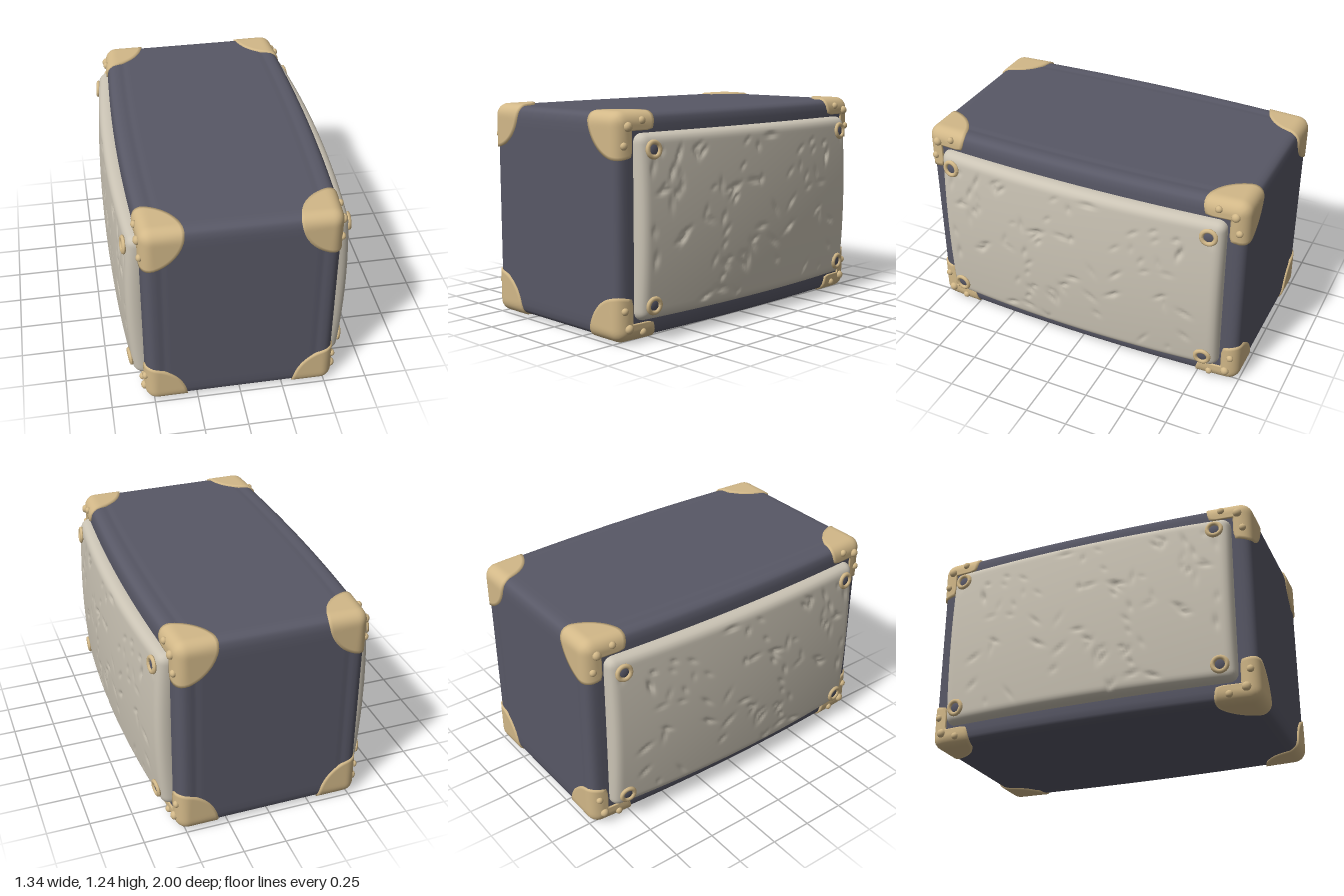
import * as THREE from 'three';
import { mergeVertices } from 'three/addons/utils/BufferGeometryUtils.js';

const V = (x, y, z) => new THREE.Vector3(x, y, z);
const CENTRE_Y = 0.617;
const BODY = V(0.575, 0.609, 0.99), BODY_R = 0.06;   // half sizes and edge radius
const PANEL = V(0.06, 0.503, 0.885), PANEL_R = 0.05;

// Moves a point of a sharp box onto the rounded box, raised by "off"
function roundPoint(p, half, r, off = 0) {
  const lim = half.clone().subScalar(r);
  const inner = p.clone().clamp(lim.clone().negate(), lim);
  return p.clone().sub(inner).normalize().multiplyScalar(r + off).add(inner);
}

// Body surface: rounded box that is narrower towards front and back
function bodyPoint(p, off = 0) {
  const q = roundPoint(p, BODY, BODY_R, off);
  q.x *= 1 - 0.07 * q.z * q.z;
  return q;
}

// Outer surface of the bulging side panel
const panelX = (y, z) => 0.67 - 0.05 * (z / 0.89) ** 2 - 0.025 * (y / 0.5) ** 2;

// Finely divided two-unit box whose vertices are moved by a rule, with smooth normals
function shapedBox(sx, sy, sz, rule) {
  let g = new THREE.BoxGeometry(2, 2, 2, sx, sy, sz);
  g.deleteAttribute('normal');
  g.deleteAttribute('uv');
  g = mergeVertices(g);
  const pos = g.attributes.position, p = V(0, 0, 0);
  for (let i = 0; i < pos.count; i++) {
    const q = rule(p.fromBufferAttribute(pos, i));
    pos.setXYZ(i, q.x, q.y, q.z);
  }
  g.computeVertexNormals();
  return g;
}

// Copy mirrored by the signs, keeping faces outward
function mirrored(geo, sx, sy, sz) {
  const g = geo.clone().scale(sx, sy, sz);
  if (sx * sy * sz < 0) {
    const a = g.index.array;
    for (let i = 0; i < a.length; i += 3) [a[i], a[i + 1]] = [a[i + 1], a[i]];
  }
  // scaling by a mirror leaves the normals consistent with the flipped faces
  g.computeVertexNormals();
  return g;
}

function bodyGeometry() {
  return shapedBox(64, 20, 40, (p) => {
    const spread = (t, h) => h * Math.sin(t * Math.PI / 2);
    const q = bodyPoint(V(spread(p.x, BODY.x), spread(p.y, BODY.y), spread(p.z, BODY.z)));
    // narrow seam running round the body near each side
    const u = Math.abs(q.x) / (1 - 0.07 * q.z * q.z);
    const groove = Math.exp(-(((u - 0.47) / 0.01) ** 2));
    q.y *= 1 - 0.01 * groove;
    q.z *= 1 - 0.006 * groove;
    return q;
  });
}

function panelGeometry() {
  let seed = 7;
  const rnd = () => (seed = (seed * 16807) % 2147483647) / 2147483647;
  for (let i = 0; i < 5; i++) rnd();
  const dents = Array.from({ length: 75 }, () => ({
    y: (rnd() * 2 - 1) * 0.45, z: (rnd() * 2 - 1) * 0.82, turn: rnd() * Math.PI,
    long: 0.015 + rnd() * 0.03, depth: 0.005 + rnd() * 0.009,
  }));
  return shapedBox(6, 72, 124, (p) => {
    const q = roundPoint(p.clone().multiply(PANEL), PANEL, PANEL_R);
    const outer = q.x > 0.045;
    q.x += panelX(q.y, q.z) - PANEL.x;
    // scratches and gouges on the outer face
    if (outer) for (const d of dents) {
      const dy = q.y - d.y, dz = q.z - d.z, c = Math.cos(d.turn), s = Math.sin(d.turn);
      q.x -= d.depth * Math.exp(-(((c * dy + s * dz) / d.long) ** 2) - ((c * dz - s * dy) / 0.011) ** 2);
    }
    return q;
  });
}

// Corner cap: three quarter-round plates sharing the corner, L-shaped on the side
function capGeometry() {
  const rings = 14, steps = 18, R = 0.245, arm = 0.092;
  const axes = ['x', 'y', 'z'], pos = [], idx = [];
  for (let n = 0; n < 3; n++) {
    const u = axes[(n + 1) % 3], v = axes[(n + 2) % 3], base = pos.length / 3;
    for (let i = 0; i <= rings + 1; i++) for (let j = 0; j <= steps; j++) {
      const t = (j / steps) * Math.PI / 2, c = Math.cos(t), s = Math.sin(t);
      const reach = n === 0 ? Math.min(R, arm / Math.max(1e-6, Math.min(c, s))) : R;
      const rho = reach * Math.min(i, rings) / rings;
      const p = BODY.clone();
      p[u] -= rho * c;
      p[v] -= rho * s;
      // the last ring drops into the body to give the cap a rim
      pos.push(...bodyPoint(p, i > rings ? -0.006 : 0.01).toArray());
    }
    for (let i = 0; i <= rings; i++) for (let j = 0; j < steps; j++) {
      const a = base + i * (steps + 1) + j, b = a + steps + 1;
      if (i > 0) idx.push(a, b + 1, a + 1);
      idx.push(a, b, b + 1);
    }
  }
  const g = new THREE.BufferGeometry();
  g.setAttribute('position', new THREE.Float32BufferAttribute(pos, 3));
  g.setIndex(idx);
  const m = mergeVertices(g);
  m.computeVertexNormals();
  return m;
}

// Domed rivets on the side of a cap: distance from the top, from the front, radius
function rivetGeometries() {
  return [[0.07, 0.065, 0.026], [0.042, 0.16, 0.021], [0.17, 0.042, 0.021]].map(([dy, dz, r]) => {
    const c = bodyPoint(V(BODY.x, BODY.y - dy, BODY.z - dz), 0.01);
    return new THREE.SphereGeometry(r, 12, 8).scale(0.85, 1, 1).translate(c.x, c.y, c.z);
  });
}

// Places a geometry facing +z onto the panel at its fixing point
function onPanel(geo, lift) {
  const y = 0.418, z = 0.803, normal = V(1, 0.083, 0.1).normalize();
  const at = V(panelX(y, z), y, z).addScaledVector(normal, lift);
  geo.applyQuaternion(new THREE.Quaternion().setFromUnitVectors(V(0, 0, 1), normal));
  return geo.translate(at.x, at.y, at.z);
}

export function createModel() {
  const material = (name, color) => {
    const m = new THREE.MeshStandardMaterial({ color });
    m.name = name;
    return m;
  };
  const slate = material('slate', 0x585866);
  const cream = material('cream', 0xcbc4b5);
  const brass = material('brass', 0xd2b888);

  const model = new THREE.Group();
  model.name = 'case';
  const shell = new THREE.Group();
  shell.name = 'shell';
  shell.position.y = CENTRE_Y;
  model.add(shell);
  const add = (parent, name, geo, mat) => {
    const mesh = new THREE.Mesh(geo, mat);
    mesh.name = name;
    parent.add(mesh);
  };

  add(shell, 'body', bodyGeometry(), slate);

  const panel = panelGeometry(), cap = capGeometry(), rivets = rivetGeometries();
  const ring = onPanel(new THREE.TorusGeometry(0.04, 0.013, 8, 24), 0.004);
  const bolt = onPanel(new THREE.SphereGeometry(0.032, 14, 8).scale(1, 1, 0.3), 0.0);

  for (const sx of [1, -1]) {
    add(shell, sx > 0 ? 'leftPanel' : 'rightPanel', mirrored(panel, sx, 1, 1), cream);
    for (const sy of [1, -1]) for (const sz of [1, -1]) {
      const corner = new THREE.Group();
      corner.name = `${sy > 0 ? 'top' : 'bottom'}${sz > 0 ? 'Front' : 'Back'}${sx > 0 ? 'Left' : 'Right'}Corner`;
      shell.add(corner);
      add(corner, 'cornerCap', mirrored(cap, sx, sy, sz), brass);
      rivets.forEach((r) => add(corner, 'rivet', mirrored(r, sx, sy, sz), brass));
      add(corner, 'eyeletRing', mirrored(ring, sx, sy, sz), brass);
      add(corner, 'eyeletBolt', mirrored(bolt, sx, sy, sz), slate);
    }
  }
  return model;
}
